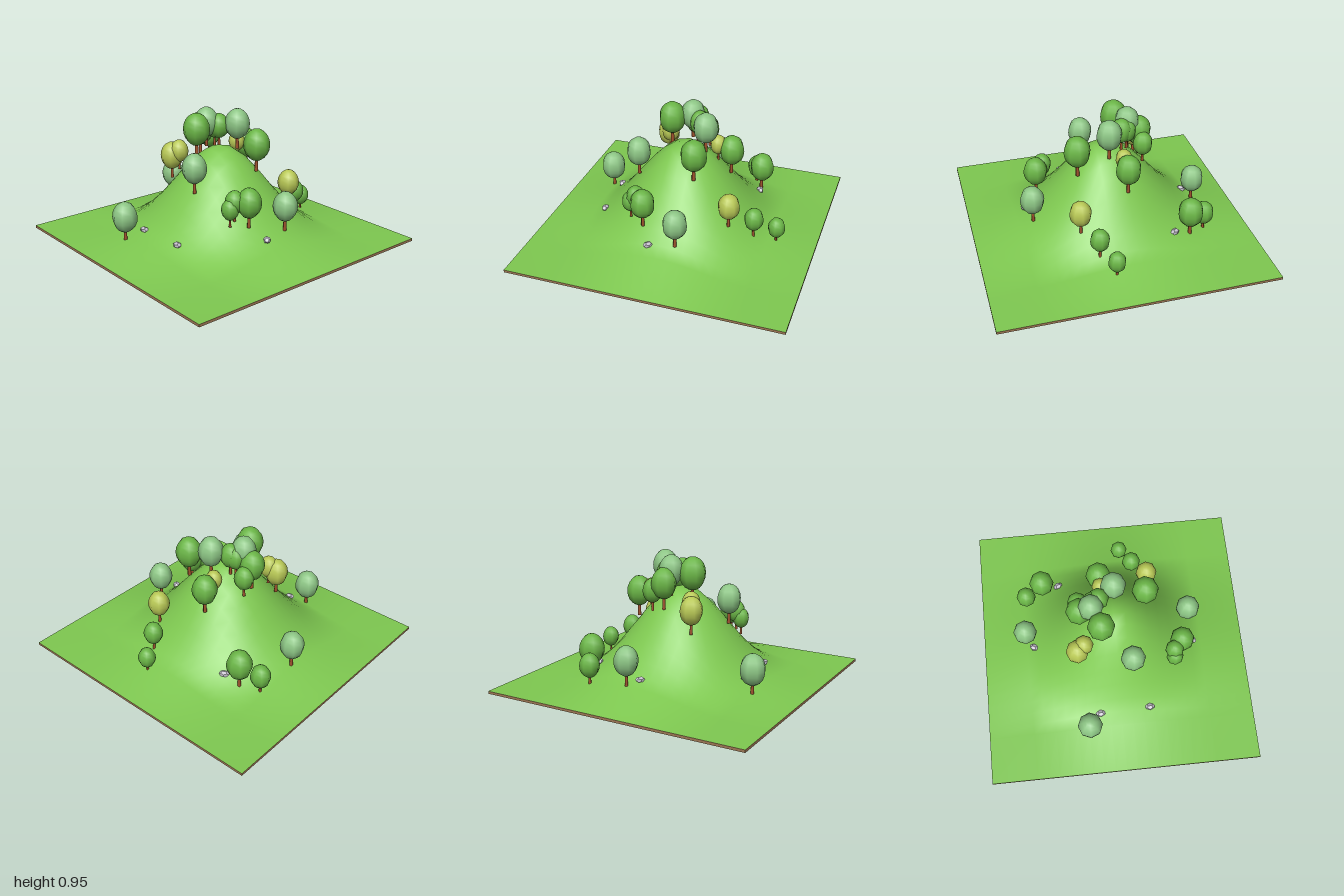
import * as THREE from 'three';

const mat = (name, color) => Object.assign(new THREE.MeshStandardMaterial({ color }), { name });

// Rounded hill height above the ground plane, a little steeper at the front and back foot
const FLOOR = 0.02;
const hill = (x, z) => FLOOR + 0.68 * Math.exp(-(x * x + z * z) / 0.23 - 2 * z ** 4);

// Grid lines: fine over the hill, one wide strip out to the edges
const INNER = 16;
const lines = [-1];
for (let i = 0; i <= INNER; i++) lines.push(-0.667 + (1.334 * i) / INNER);
lines.push(1);

function terrainGeometry() {
  const n = lines.length - 1;
  const geo = new THREE.PlaneGeometry(2, 2, n, n);
  geo.rotateX(-Math.PI / 2);
  const p = geo.attributes.position;
  for (let j = 0; j <= n; j++) {
    for (let i = 0; i <= n; i++) {
      const edge = i === 0 || j === 0 || i === n || j === n;
      const x = lines[i], z = lines[j];
      p.setXYZ(j * (n + 1) + i, x, edge ? FLOOR : hill(x, z), z);
    }
  }
  geo.computeVertexNormals();
  return geo;
}

export function createModel() {
  const model = new THREE.Group();
  model.name = 'woodedHill';

  const grass = mat('grass', 0x7ec850);
  const soil = mat('soil', 0x9b7653);
  const bark = mat('bark', 0xa0522d);
  const stone = mat('stone', 0xc6c1ce);
  const leaf = {
    green: mat('greenLeaves', 0x6ab546),
    sage: mat('sageLeaves', 0x8cc584),
    olive: mat('oliveLeaves', 0xb8c855),
  };

  const add = (parent, name, geo, material, x = 0, y = 0, z = 0) => {
    const mesh = new THREE.Mesh(geo, material);
    mesh.name = name;
    mesh.position.set(x, y, z);
    parent.add(mesh);
    return mesh;
  };

  // Ground: hill surface over a thin slab of soil
  add(model, 'hill', terrainGeometry(), grass);
  add(model, 'soilSlab', new THREE.BoxGeometry(2, 0.019, 2), soil, 0, 0.0095, 0);

  // Trees: x, crown centre height, z, crown radius, leaf colour
  const trees = [
    [-0.66, 0.3, -0.06, 0.087, 'sage'], [-0.64, 0.21, -0.38, 0.073, 'green'],
    [-0.51, 0.285, -0.45, 0.092, 'green'], [0.115, 0.18, -0.72, 0.063, 'green'],
    [0.195, 0.27, -0.57, 0.07, 'green'], [0.29, 0.4, -0.41, 0.079, 'olive'],
    [-0.08, 0.64, -0.32, 0.091, 'green'], [-0.075, 0.67, -0.22, 0.06, 'olive'],
    [0.012, 0.835, -0.15, 0.092, 'sage'], [0.24, 0.73, -0.135, 0.096, 'green'],
    [0.57, 0.365, -0.11, 0.088, 'sage'], [-0.25, 0.7, -0.1, 0.072, 'green'],
    [-0.245, 0.76, -0.01, 0.092, 'green'], [-0.14, 0.8, -0.06, 0.07, 'green'],
    [-0.1, 0.81, -0.07, 0.075, 'green'], [-0.16, 0.84, 0, 0.09, 'sage'],
    [-0.1, 0.82, 0.14, 0.098, 'green'], [-0.28, 0.6, 0.23, 0.083, 'olive'],
    [-0.23, 0.64, 0.2, 0.068, 'olive'], [0.107, 0.615, 0.325, 0.089, 'sage'],
    [0.49, 0.43, 0.155, 0.088, 'green'], [0.425, 0.435, 0.23, 0.068, 'green'],
    [0.425, 0.39, 0.27, 0.062, 'green'], [-0.24, 0.24, 0.685, 0.092, 'sage'],
  ];
  const crownGeo = new THREE.SphereGeometry(1, 8, 10);
  const trunkGeo = new THREE.CylinderGeometry(0.11, 0.15, 1.3, 6);
  for (const [x, y, z, r, colour] of trees) {
    const tree = new THREE.Group();
    tree.name = 'tree';
    tree.position.set(x, y, z);
    tree.scale.setScalar(r);
    add(tree, 'trunk', trunkGeo, bark, 0, -1.4, 0);
    add(tree, 'crown', crownGeo, leaf[colour]).scale.set(1, 1.23, 1);
    model.add(tree);
  }

  // Small flattened rocks: x, z, turn
  const rocks = [[-0.39, -0.47, 0.5], [-0.61, 0.02, -0.6], [0.595, 0.08, -0.8], [-0.155, 0.58, 0.1], [0.215, 0.565, 0]];
  const rockGeo = new THREE.DodecahedronGeometry(1, 0);
  for (const [x, z, turn] of rocks) {
    const rock = add(model, 'rock', rockGeo, stone, x, hill(x, z) + 0.01, z);
    rock.scale.set(0.036, 0.022, 0.026);
    rock.rotation.y = turn;
  }

  return model;
}
